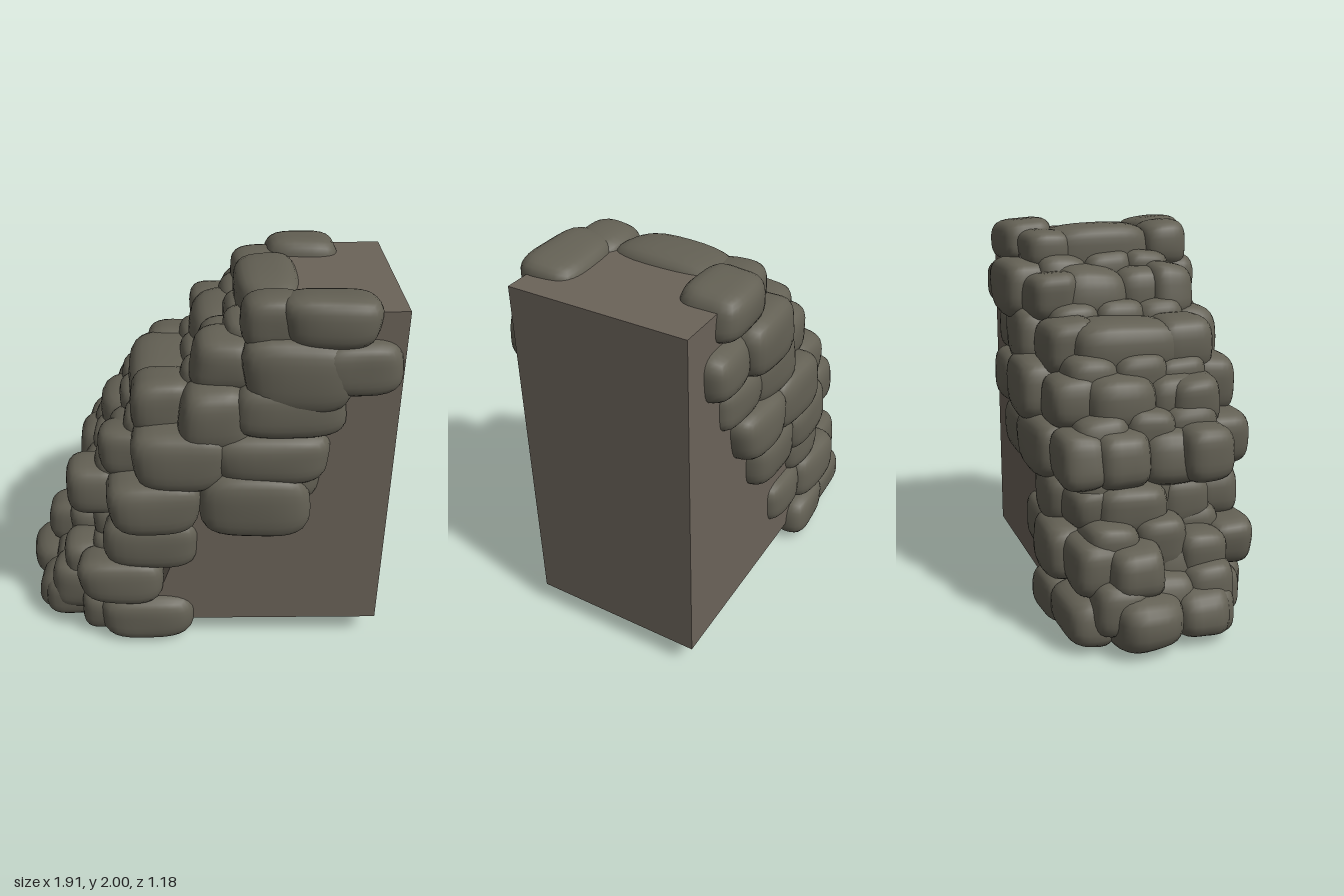
import * as THREE from 'three';
import { mergeVertices } from 'three/addons/utils/BufferGeometryUtils.js';

const wallMat = new THREE.MeshStandardMaterial({ color: 0x6b6359 });
wallMat.name = 'wall taupe';
const stoneMat = new THREE.MeshStandardMaterial({ color: 0x636054 });
stoneMat.name = 'stone grey';

let seed = 7;
const rnd = () => (seed = (seed * 16807) % 2147483647) / 2147483647;
const vary = (a) => (rnd() - 0.5) * 2 * a;

// Worn block filling the given bounds: a rounded cube with gentle bumps
function stone(name, x0, x1, y0, y1, z0, z1) {
  let g = new THREE.BoxGeometry(2, 2, 2, 8, 8, 8);
  g.deleteAttribute('uv');
  g.deleteAttribute('normal');
  g = mergeVertices(g, 1e-4);
  const p = g.attributes.position, v = new THREE.Vector3();
  const ph = [rnd() * 6, rnd() * 6, rnd() * 6];
  const taper = [vary(0.1), vary(0.12), vary(0.1)];
  for (let i = 0; i < p.count; i++) {
    v.fromBufferAttribute(p, i);
    const k = 3.4;
    const n = (Math.abs(v.x) ** k + Math.abs(v.y) ** k + Math.abs(v.z) ** k) ** (1 / k);
    v.divideScalar(n);
    const bump = 1 + 0.04 * Math.sin(2.3 * v.x + ph[0]) * Math.sin(2.1 * v.y + ph[1])
      + 0.025 * Math.sin(2.7 * v.z + ph[2]);
    v.set(v.x * (1 + taper[0] * v.y), v.y * (1 + taper[1] * v.z), v.z * (1 + taper[2] * v.x));
    v.multiplyScalar(bump);
    p.setXYZ(i, v.x * (x1 - x0) / 2, v.y * (y1 - y0) / 2, v.z * (z1 - z0) / 2);
  }
  g.computeVertexNormals();
  const m = new THREE.Mesh(g, stoneMat);
  m.name = name;
  m.position.set((x0 + x1) / 2, (y0 + y1) / 2, (z0 + z1) / 2);
  return m;
}

// Side stones as x0, x1, y0, y1 and an optional inset
const FRONT = [
  [-0.53, -0.04, 0.01, 0.29], [-0.86, -0.46, 0.02, 0.27, 0.2], [-0.64, -0.4, 0.03, 0.27, 0.07],
  [-0.64, -0.19, 0.27, 0.54, 0.01], [-0.73, -0.45, 0.26, 0.52, 0.2],
  [-0.5, 0.0, 0.49, 0.78, 0.03], [-0.57, -0.3, 0.5, 0.77, 0.22],
  [-0.47, 0.02, 0.74, 1.06], [-0.69, -0.38, 0.75, 1.04, 0.18], [-0.01, 0.55, 0.73, 1.1],
  [0.15, 0.6, 0.9, 1.2, 0.04],
  [-0.34, 0.14, 0.98, 1.34], [0.05, 0.63, 1.03, 1.32], [-0.51, -0.22, 1.0, 1.25, 0.16],
  [-0.1, 0.25, 1.2, 1.55], [-0.34, 0, 1.22, 1.53, 0.13], [0.15, 0.7, 1.29, 1.58],
  [0.2, 0.72, 1.42, 1.81], [0.52, 0.94, 1.52, 1.79], [-0.05, 0.3, 1.47, 1.77, 0.11],
  [0.37, 0.82, 1.76, 2.0], [0.19, 0.5, 1.73, 1.98, 0.05],
];
const BACK = [
  [-0.48, -0.12, 0.02, 0.27], [-0.79, -0.38, 0.02, 0.28, 0.02],
  [-0.2, 0.16, 0.31, 0.57, 0.04], [-0.56, -0.14, 0.28, 0.57], [-0.77, -0.45, 0.27, 0.54, 0.08],
  [-0.4, -0.04, 0.52, 0.79], [-0.6, -0.3, 0.52, 0.77, 0.08],
  [-0.38, 0.08, 0.74, 1.06], [-0.62, -0.3, 0.75, 1.03, 0.07], [0.0, 0.41, 0.75, 1.05],
  [-0.2, 0.26, 1.0, 1.33], [0.18, 0.57, 1.02, 1.31], [-0.44, -0.12, 1.0, 1.28, 0.09],
  [0.02, 0.42, 1.26, 1.55], [-0.28, 0.08, 1.23, 1.53, 0.08], [0.33, 0.7, 1.27, 1.52, 0.03],
  [0.12, 0.56, 1.48, 1.8], [0.48, 0.82, 1.5, 1.77, 0.04], [-0.05, 0.24, 1.48, 1.74, 0.1],
  [0.33, 0.73, 1.75, 2.0], [0.17, 0.45, 1.73, 1.94, 0.08],
];
// How far each course stands out at the front and at the back
const FRONT_Z = [0.53, 0.54, 0.54, 0.58, 0.56, 0.54, 0.55, 0.53];
const BACK_Z = [0.54, 0.55, 0.51, 0.56, 0.58, 0.54, 0.58, 0.53];

// Rows on the sloping face: left edge, bottom, top, right edge, setback of the front half,
// and whether one wide slab fills the row
const ROWS = [
  [-0.95, 0.02, 0.3, -0.31, 0.06], [-0.87, 0.25, 0.53, -0.26, 0.16], [-0.66, 0.48, 0.78, -0.12, 0.18],
  [-0.66, 0.73, 1.04, -0.12, 0.04], [-0.52, 0.98, 1.28, 0.03, 0.05], [-0.36, 1.22, 1.52, 0.06, 0, true],
  [-0.04, 1.46, 1.76, 0.36, 0.03], [0.17, 1.68, 1.97, 0.48, 0, true],
];

export function createModel() {
  const model = new THREE.Group();
  model.name = 'stone slope';

  // Solid block behind the stones, slanted on its covered side
  const shape = new THREE.Shape([[-0.28, 0.13], [0.95, 0.13], [0.95, 1.93], [0.36, 1.93]]
    .map(([x, y]) => new THREE.Vector2(x, y)));
  const core = new THREE.Mesh(
    new THREE.ExtrudeGeometry(shape, { depth: 0.9, bevelEnabled: false }), wallMat);
  core.position.z = -0.45;
  core.name = 'backing block';
  model.add(core);

  // Stones wrapping round the front and back edges
  const front = new THREE.Group(), back = new THREE.Group(), slope = new THREE.Group();
  front.name = 'front stones';
  back.name = 'back stones';
  slope.name = 'slope stones';
  const course = (y0, y1) => Math.floor((y0 + y1) / 0.5);
  for (const [x0, x1, y0, y1, inset = 0] of FRONT) {
    const z = FRONT_Z[course(y0, y1)] - inset;
    front.add(stone('frontStone', x0, x1, y0, y1, z - 0.28 + vary(0.02), z));
  }
  for (const [x0, x1, y0, y1, inset = 0] of BACK) {
    const z = BACK_Z[course(y0, y1)] - inset;
    back.add(stone('backStone', x0, x1, y0, y1, -z, -z + 0.28 + vary(0.02)));
  }

  // Courses of stones on the slope, with small wedged stones over each joint
  ROWS.forEach(([left, y0, y1, right, setback, slab], r) => {
    if (slab) {
      slope.add(stone('slopeSlab', left, right, y0, y1, -0.34, 0.28));
    } else {
      const split = r % 2 ? -0.05 : 0.03;
      slope.add(stone('slopeStone', left, right, y0, y1, -0.32, split + 0.03));
      slope.add(stone('slopeStone', left + setback, right, y0, y1 - 0.01, split - 0.03, 0.31));
    }
    if (r === ROWS.length - 1) return;
    const next = ROWS[r + 1][0];
    for (const [z, shift] of [[-0.25, 0], [0, 0.02], [0.22, setback]]) {
      const x = Math.max(left + 0.1, next - 0.07) + shift + vary(0.02);
      slope.add(stone('wedgeStone', x, x + 0.3, y1 - 0.2, y1 + 0.07 + vary(0.02), z - 0.15, z + 0.14));
    }
  });
  model.add(front, back, slope);
  return model;
}
